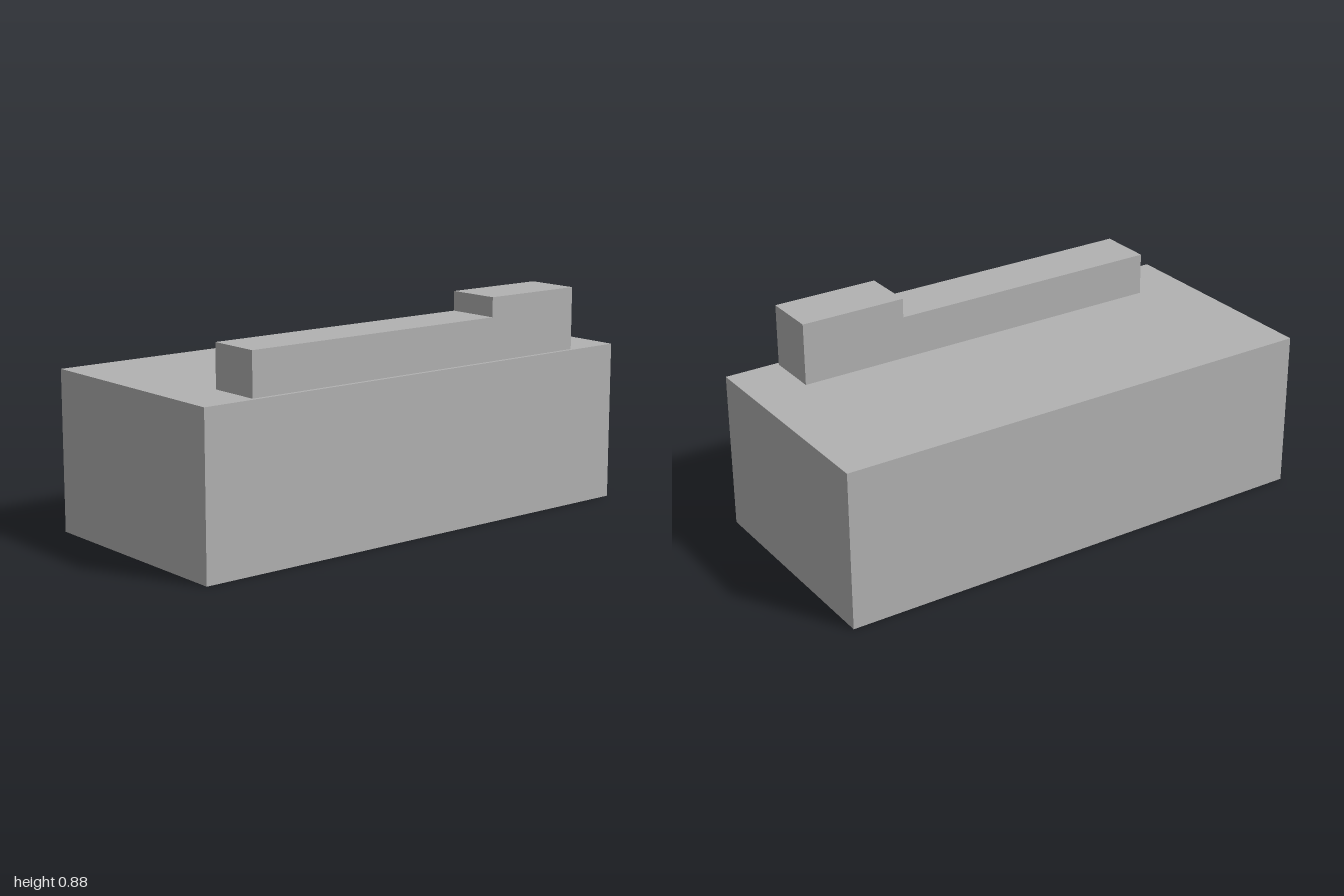
import * as THREE from 'three';

export function createModel() {
  const model = new THREE.Group();
  const grey = new THREE.MeshStandardMaterial({ color: 0xb2b2b2 });
  grey.name = 'grey';

  const baseHeight = 0.63;
  const baseDepth = 0.924;

  // Main block
  const base = new THREE.Mesh(new THREE.BoxGeometry(2, baseHeight, baseDepth), grey);
  base.name = 'baseBlock';
  base.position.y = baseHeight / 2;
  model.add(base);

  // Stepped bar along the front edge of the top, taller at its +x end
  const profile = new THREE.Shape([
    [-0.785, 0], [0.783, 0], [0.783, 0.247], [0.353, 0.247], [0.353, 0.17], [-0.785, 0.17],
  ].map(([x, y]) => new THREE.Vector2(x, y)));
  const bar = new THREE.Mesh(
    new THREE.ExtrudeGeometry(profile, { depth: 0.216, bevelEnabled: false }), grey);
  bar.name = 'steppedBar';
  bar.position.set(0, baseHeight, 0.231);
  model.add(bar);

  return model;
}
